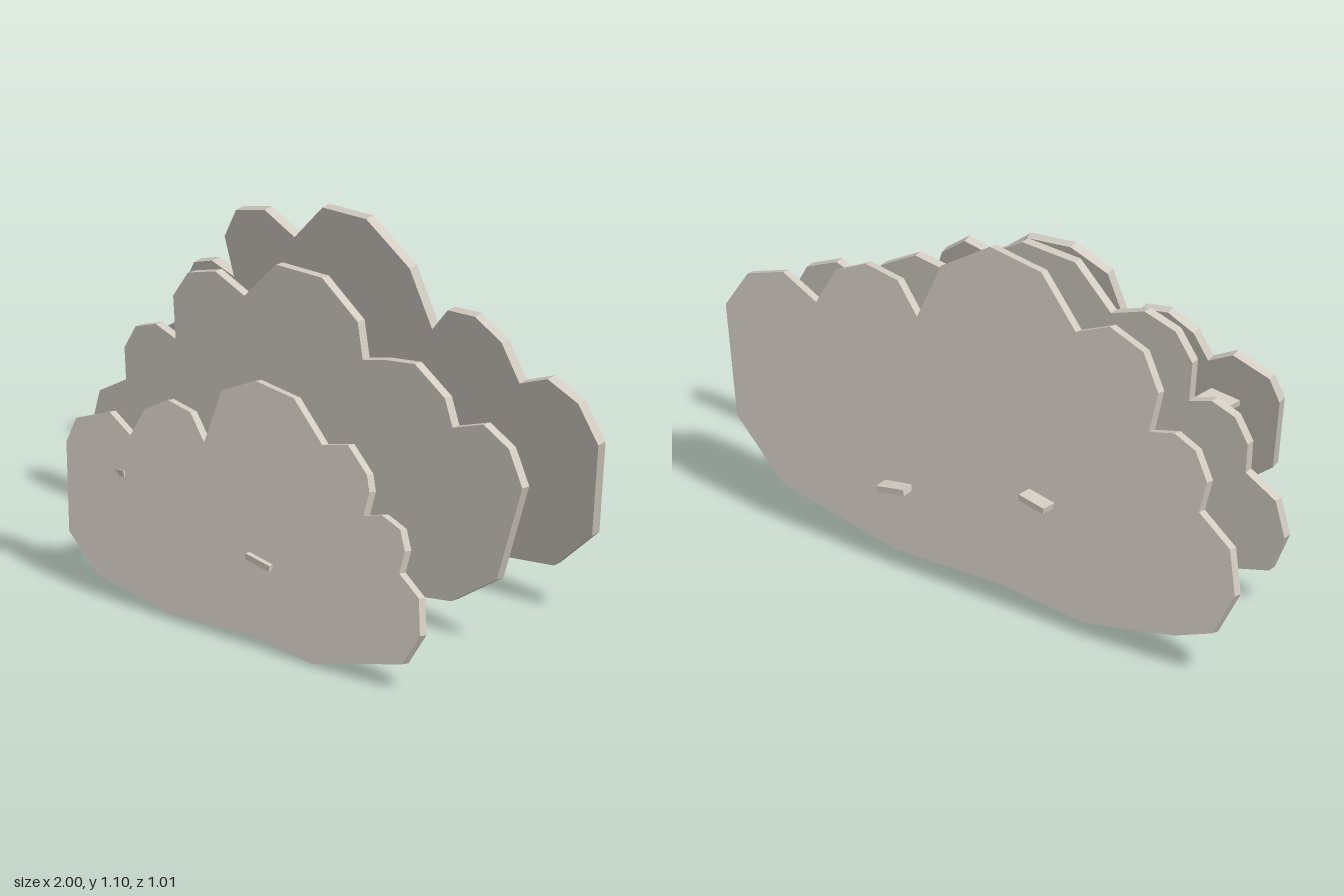
import * as THREE from 'three';

const THICKNESS = 0.03;

// Flat scalloped board lying in the plane z = a + b*x + c*y, thickened backwards along its normal
function makeBoard(name, outline, [a, b, c], material) {
  const shape = new THREE.Shape(outline.map(([x, y]) => new THREE.Vector2(x, y)));
  const geo = new THREE.ExtrudeGeometry(shape, { depth: THICKNESS, bevelEnabled: false });
  const normal = new THREE.Vector3(-b, -c, 1).normalize();
  const pos = geo.attributes.position;
  const p = new THREE.Vector3();
  for (let i = 0; i < pos.count; i++) {
    p.fromBufferAttribute(pos, i);
    const back = THICKNESS - p.z;
    p.z = a + b * p.x + c * p.y;
    p.addScaledVector(normal, -back);
    pos.setXYZ(i, p.x, p.y, p.z);
  }
  geo.computeVertexNormals();
  const mesh = new THREE.Mesh(geo, material);
  mesh.name = name;
  return mesh;
}

// Flat slat running from back to front, rolled about its own length
function makeSlat(name, from, to, roll, material) {
  const start = new THREE.Vector3(...from);
  const end = new THREE.Vector3(...to);
  const geo = new THREE.BoxGeometry(0.1, 0.02, start.distanceTo(end));
  geo.rotateZ(roll);
  const mesh = new THREE.Mesh(geo, material);
  mesh.position.copy(start).lerp(end, 0.5);
  mesh.lookAt(end);
  mesh.name = name;
  return mesh;
}

export function createModel() {
  const model = new THREE.Group();
  model.name = 'layeredBush';
  const stone = new THREE.MeshStandardMaterial({ color: 0xd2ccc2 });
  stone.name = 'warmGrey';

  // Small board, leaning back
  const front = [
    [-0.495, 0.43], [-0.47, 0.51], [-0.345, 0.56], [-0.25, 0.51], [-0.21, 0.6],
    [-0.125, 0.65], [-0.03, 0.635], [0.04, 0.56], [0.08, 0.73], [0.205, 0.79],
    [0.365, 0.775], [0.5, 0.665], [0.6, 0.69], [0.69, 0.62], [0.71, 0.57],
    [0.7, 0.495], [0.77, 0.515], [0.85, 0.49], [0.88, 0.43], [0.87, 0.36],
    [0.96, 0.305], [0.985, 0.195], [0.93, 0.095], [0.58, 0.01], [0.325, 0.035],
    [0, 0.02], [-0.3, 0.07], [-0.435, 0.17],
  ];
  // Medium board, almost upright
  const middle = [
    [-0.85, 0.265], [-0.82, 0.385], [-0.71, 0.45], [-0.72, 0.55], [-0.675, 0.63],
    [-0.59, 0.66], [-0.505, 0.635], [-0.52, 0.77], [-0.46, 0.86], [-0.345, 0.895],
    [-0.22, 0.85], [-0.09, 0.985], [0.105, 0.995], [0.26, 0.895], [0.285, 0.78],
    [0.38, 0.805], [0.505, 0.825], [0.635, 0.75], [0.67, 0.665], [0.8, 0.71],
    [0.91, 0.66], [0.97, 0.55], [0.87, 0.23], [0.68, 0.11], [0.22, 0.04],
    [-0.16, 0.045], [-0.35, 0.025], [-0.79, 0.135],
  ];
  // Large board, leaning forward
  const back = [
    [-1, 0.3], [-0.965, 0.44], [-0.835, 0.52], [-0.855, 0.62], [-0.8, 0.705],
    [-0.715, 0.735], [-0.62, 0.71], [-0.64, 0.84], [-0.57, 0.95], [-0.435, 0.99],
    [-0.31, 0.935], [-0.16, 1.08], [0.04, 1.1], [0.215, 0.985], [0.285, 0.8],
    [0.37, 0.89], [0.495, 0.905], [0.605, 0.85], [0.665, 0.73], [0.8, 0.785],
    [0.93, 0.74], [1, 0.62], [0.916, 0.29], [0.718, 0.13], [0.274, 0.057],
    [-0.125, 0.07], [-0.45, 0.045], [-0.79, 0.11], [-0.93, 0.16],
  ];

  model.add(
    makeBoard('frontBoard', front, [0.501, -0.068, -0.193], stone),
    makeBoard('middleBoard', middle, [-0.01, -0.023, -0.03], stone),
    makeBoard('backBoard', back, [-0.468, 0.03, 0.159], stone),
    // Slats passing through all three boards
    makeSlat('rightSlat', [-0.24, 0.385, -0.493], [-0.3, 0.385, 0.444], 0.155, stone),
    makeSlat('leftSlat', [0.29, 0.263, -0.493], [0.325, 0.263, 0.443], -0.155, stone),
  );
  return model;
}
